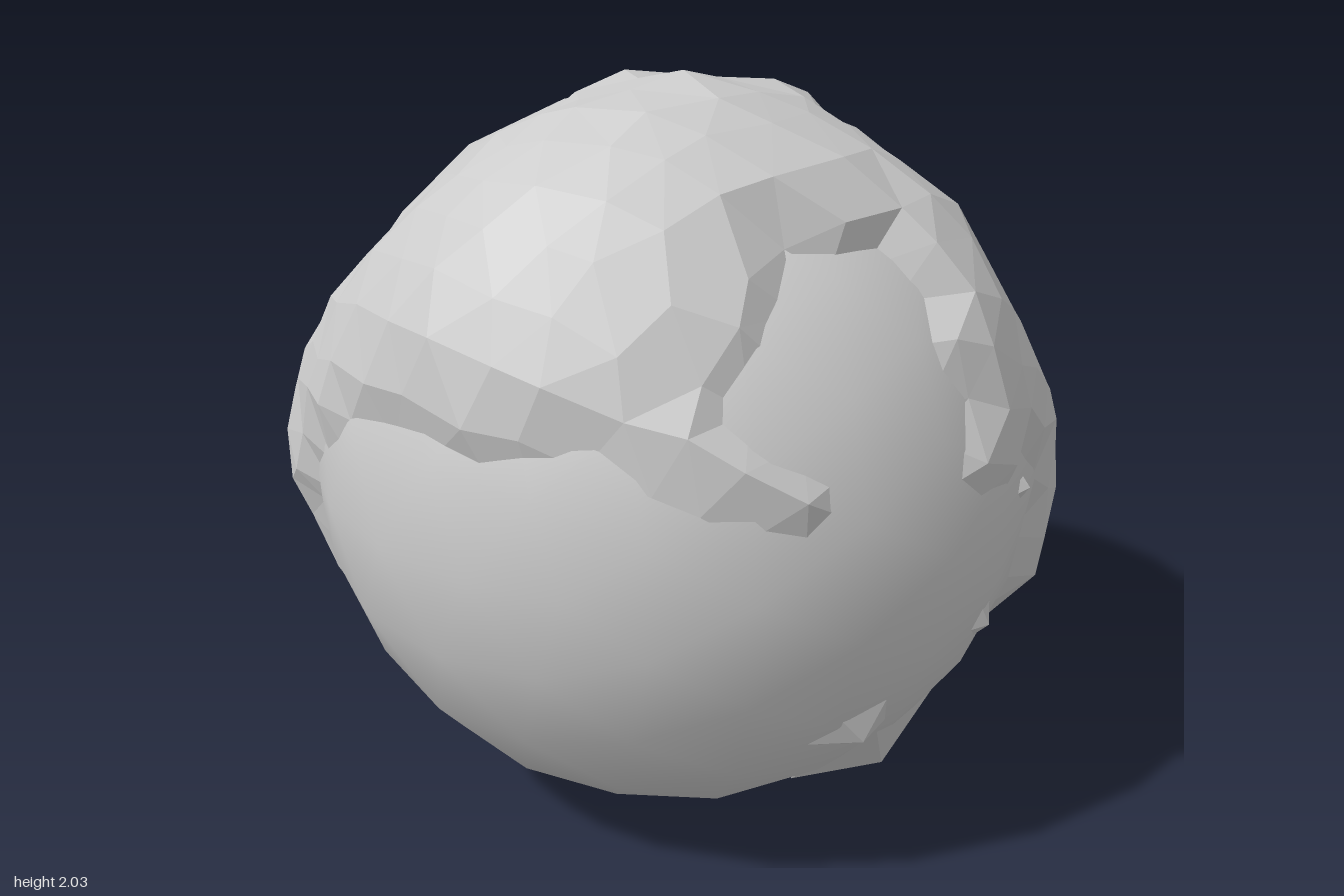
import * as THREE from 'three';

const RADIUS = 0.972;
const CENTER = new THREE.Vector3(-0.015, 0.972, 0.015);
const DEG = Math.PI / 180;

// longitude 0 faces the front, 90 faces +x
function direction(lon, lat) {
  return new THREE.Vector3(
    Math.sin(lon * DEG) * Math.cos(lat * DEG), Math.sin(lat * DEG),
    Math.cos(lon * DEG) * Math.cos(lat * DEG));
}

// land patches: longitude, latitude, angular radius
const northLand = [
  [-10, 68, 20], [180, 82, 7], [-130, 82, 9], [60, 78, 8], [76, 69, 6], [24, 46, 13],
  [20, 29, 13], [13, 14, 8], [30, 18, 12], [42, 6, 11], [-45, 62, 18], [-70, 58, 20],
  [-85, 55, 17], [-45, 42, 14], [-70, 38, 18], [-95, 37, 18], [-118, 20, 14],
  [-108, 28, 14], [-55, 32, 11], [-75, 30, 12], [-44, 24, 8], [-34, 17, 6], [-27, 13, 5],
];
const eastLand = [
  [48, -6, 11], [50, -20, 15], [68, -14, 14], [74, 0, 8], [82, -16, 14], [98, -15, 10],
  [108, -9, 5], [90, -24, 12], [60, -32, 15], [75, -38, 14],
];
const southLand = [
  [92, -45, 11], [108, -48, 11], [125, -49, 11], [142, -49, 11], [160, -48, 12],
  [178, -48, 14], [-165, -47, 15], [154, -14, 6], [172, -12, 15], [178, -22, 17],
  [-162, -10, 21], [-145, -15, 22], [-135, 5, 17], [-165, -36, 20], [-145, -42, 14],
];
const patches = [...northLand, ...eastLand, ...southLand]
  .map(([lon, lat, r]) => ({ dir: direction(lon, lat), r }));

// highlands: longitude, latitude, extra height
const highlands = [
  [-85, 42, 0.07], [-48, 68, 0.085], [8, 44, 0.05], [44, -13, 0.07], [80, -22, 0.02],
  [165, -42, 0.06], [-135, 2, 0.055], [105, -45, 0.02],
].map(([lon, lat, rise]) => ({ dir: direction(lon, lat), rise }));

const wobble = (p, k, s) =>
  Math.sin(p.x * k + s) * Math.sin(p.y * k * 1.13 + 2 * s) + 0.5 * Math.sin(p.z * k * 1.31 + 3 * s);

function landTop(p) {
  let top = 0.03 + 0.006 * wobble(p, 11, 4);
  for (const h of highlands) top += h.rise * Math.max(0, p.dot(h.dir)) ** 14;
  return top;
}

// a faceted shell that rises above the water inside the patches and dips below outside
function makeLand(material) {
  const shell = new THREE.IcosahedronGeometry(1, 7).getAttribute('position');
  const out = [];
  const corner = new THREE.Vector3();
  for (let i = 0; i < shell.count; i += 3) {
    const face = [];
    let dry = false;
    for (let j = 0; j < 3; j++) {
      corner.fromBufferAttribute(shell, i + j).normalize();
      const p = corner.clone();
      // shift the grid so that the facets are irregular
      p.x += 0.028 * wobble(corner, 13, 1);
      p.y += 0.028 * wobble(corner, 15, 2);
      p.z += 0.028 * wobble(corner, 14, 3);
      p.normalize();
      let inside = -90;
      for (const d of patches) inside = Math.max(inside, d.r - p.angleTo(d.dir) / DEG);
      if (inside > 0) dry = true;
      const height = inside > 0
        ? landTop(p) * Math.min(1, 0.3 + inside / 7)
        : Math.max(-0.04, inside * 0.01);
      face.push(p.multiplyScalar(RADIUS + height));
    }
    if (dry) for (const p of face) out.push(p.x, p.y, p.z);
  }
  const geometry = new THREE.BufferGeometry();
  geometry.setAttribute('position', new THREE.Float32BufferAttribute(out, 3));
  geometry.computeVertexNormals();
  const mesh = new THREE.Mesh(geometry, material);
  mesh.name = 'continents';
  return mesh;
}

export function createModel() {
  const globe = new THREE.Group();
  globe.name = 'globe';
  globe.position.copy(CENTER);

  const smooth = new THREE.MeshStandardMaterial({ color: 0xcccccc });
  const faceted = new THREE.MeshStandardMaterial({ color: 0xcccccc, flatShading: true });

  // smooth water ball with a coarse outline
  const ocean = new THREE.Mesh(new THREE.IcosahedronGeometry(RADIUS + 0.004, 3), smooth);
  ocean.name = 'ocean';
  globe.add(ocean);

  globe.add(makeLand(faceted));

  // small islands: longitude, latitude, width, depth, height above the water
  const islands = [
    [-11, -29, 0.19, 0.14, 0.04], [9, -47, 0.26, 0.24, 0.065],
    [16, -18, 0.08, 0.12, 0.02], [24, 2, 0.05, 0.07, 0.012],
  ];
  for (const [lon, lat, width, depth, rise] of islands) {
    const cone = new THREE.ConeGeometry(1, 1, 5);
    cone.translate(0, -0.5, 0);
    cone.rotateX(Math.PI / 2);
    const island = new THREE.Mesh(cone, faceted);
    island.name = 'island';
    island.scale.set(width, depth, rise + 0.04);
    const dir = direction(lon, lat);
    island.position.copy(dir).multiplyScalar(RADIUS + rise);
    // turn the peak outward
    island.quaternion.setFromEuler(new THREE.Euler(-lat * DEG, lon * DEG, 0, 'YXZ'));
    globe.add(island);
  }

  const model = new THREE.Group();
  model.name = 'model';
  model.add(globe);
  return model;
}
